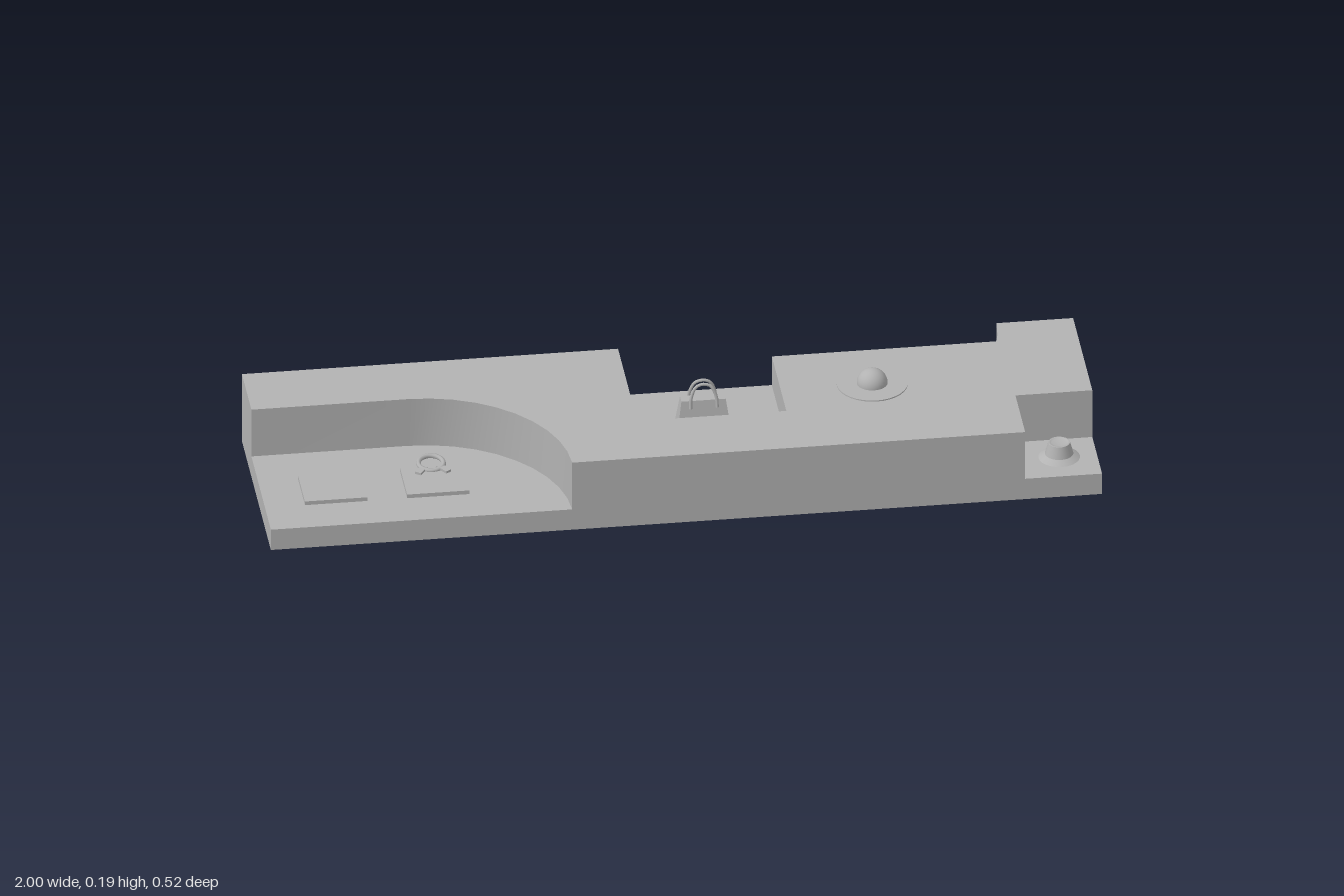
import * as THREE from 'three';

const TOP = 0.185, SHELF = 0.135, LOW = 0.056, HZ = 0.26, SEG = 10;

export function createModel() {
  const model = new THREE.Group();
  const grey = new THREE.MeshStandardMaterial({ color: 0xb2b2b2, side: THREE.DoubleSide });
  grey.name = 'plain grey';

  function add(name, geometry, x = 0, y = 0, z = 0, parent = model) {
    const mesh = new THREE.Mesh(geometry, grey);
    mesh.name = name;
    mesh.position.set(x, y, z);
    parent.add(mesh);
    return mesh;
  }

  // Quarter-circle points on the ground plan, as [x, z]
  function arc(cx, cz, r, from, to) {
    return Array.from({ length: SEG + 1 }, (_, i) => {
      const a = from + (to - from) * i / SEG;
      return [cx + r * Math.cos(a), cz + r * Math.sin(a)];
    });
  }

  // Upright sheet along a plan path
  function wall(name, path, y0, y1) {
    const pos = [], index = [];
    path.forEach(([x, z], i) => {
      pos.push(x, y0, z, x, y1, z);
      if (i) {
        const a = 2 * i - 2;
        index.push(a, a + 2, a + 3, a, a + 3, a + 1);
      }
    });
    const g = new THREE.BufferGeometry();
    g.setAttribute('position', new THREE.Float32BufferAttribute(pos, 3));
    g.setIndex(index);
    g.computeVertexNormals();
    add(name, g);
  }

  // Level sheet from a plan outline
  function sheet(name, path, y) {
    const shape = new THREE.Shape(path.map(([x, z]) => new THREE.Vector2(x, -z)));
    add(name, new THREE.ShapeGeometry(shape).rotateX(-Math.PI / 2), 0, y, 0);
  }

  // Plan curves of the two rounded recesses
  const frontCurve = [[-1, -0.09], ...arc(-0.625, HZ, 0.35, -Math.PI / 2, 0)];
  const backCurve = [...arc(0.47, -HZ, 0.345, 0, Math.PI / 2), [0.275, 0.085]];

  // Level surfaces
  sheet('topSurface', [
    ...frontCurve, [0.815, HZ], [0.815, 0.085], [1, 0.085], [1, -HZ],
    ...backCurve, [-0.095, 0.085], [-0.095, -HZ], [-1, -HZ],
  ], TOP);
  sheet('frontRecessFloor', [...frontCurve, [-1, HZ]], LOW);
  sheet('shelfFloor', [...backCurve, [0.275, -HZ]], SHELF);
  sheet('bagRecessFloor', [[-0.095, -HZ], [0.275, -HZ], [0.275, 0.085], [-0.095, 0.085]], LOW);
  sheet('cornerFloor', [[0.815, 0.085], [1, 0.085], [1, HZ], [0.815, HZ]], LOW);

  // Recess walls
  wall('frontRecessWall', frontCurve, LOW, TOP);
  wall('shelfWall', backCurve, SHELF, TOP);
  wall('bagRecessWall', [[0.275, 0.085], [-0.095, 0.085]], LOW, TOP);
  wall('bagRecessSide', [[-0.095, 0.085], [-0.095, -HZ]], LOW, TOP);
  wall('shelfStep', [[0.275, -HZ], [0.275, 0.085]], LOW, SHELF);
  wall('cornerWall', [[0.815, 0.085], [1, 0.085]], LOW, TOP);
  wall('cornerSide', [[0.815, HZ], [0.815, 0.085]], LOW, TOP);

  // Outer walls, open underneath
  [[-1, -0.275, LOW], [-0.275, 0.815, TOP], [0.815, 1, LOW]]
    .forEach(([a, b, y]) => wall('frontWall', [[a, HZ], [b, HZ]], 0, y));
  [[-1, -0.095, TOP], [-0.095, 0.275, LOW], [0.275, 0.815, SHELF], [0.815, 1, TOP]]
    .forEach(([a, b, y]) => wall('backWall', [[b, -HZ], [a, -HZ]], 0, y));
  [[-HZ, 0.085, TOP], [0.085, HZ, LOW]]
    .forEach(([a, b, y]) => wall('leftEnd', [[1, b], [1, a]], 0, y));
  [[-HZ, -0.09, TOP], [-0.09, HZ, LOW]]
    .forEach(([a, b, y]) => wall('rightEnd', [[-1, a], [-1, b]], 0, y));

  // Folded garments with a shallow neckline
  const garment = new THREE.Shape();
  garment.moveTo(-0.075, -0.0725);
  garment.lineTo(0.075, -0.0725);
  garment.lineTo(0.075, 0.055);
  garment.quadraticCurveTo(0.068, 0.072, 0.05, 0.072);
  garment.quadraticCurveTo(0, 0.052, -0.05, 0.072);
  garment.quadraticCurveTo(-0.068, 0.072, -0.075, 0.055);
  garment.closePath();
  const garmentGeo = new THREE.ExtrudeGeometry(garment, { depth: 0.01, bevelEnabled: false, curveSegments: 6 })
    .rotateX(-Math.PI / 2);
  for (const x of [-0.829, -0.583]) add('foldedGarment', garmentGeo, x, LOW, 0.083);

  // Collar on the second garment
  const collar = new THREE.Group();
  collar.name = 'collar';
  collar.position.set(-0.583, LOW + 0.014, 0.022);
  model.add(collar);
  const band = add('collarBand', new THREE.TorusGeometry(0.03, 0.006, 8, 24), 0, 0, 0, collar);
  band.rotation.x = Math.PI / 2 + 0.12;
  for (const s of [-1, 1]) {
    const lapel = add('lapel', new THREE.BoxGeometry(0.016, 0.006, 0.036), s * 0.027, -0.001, 0.028, collar);
    lapel.rotation.y = s * 0.6;
  }

  // Small hat in the corner
  const hat = [[0.05, 0], [0.044, 0.004], [0.034, 0.01], [0.034, 0.01], [0.026, 0.04], [0.026, 0.04], [0.021, 0.041], [0.019, 0.037], [0, 0.037]];
  add('cornerHat', new THREE.LatheGeometry(hat.map(p => new THREE.Vector2(...p)), 24), 0.909, LOW + 0.001, 0.168);

  // Round hat on the shelf
  add('roundHatBrim', new THREE.CylinderGeometry(0.085, 0.085, 0.003, 32), 0.495, SHELF + 0.0015, -0.1);
  add('roundHatCrown', new THREE.SphereGeometry(0.037, 24, 10, 0, Math.PI * 2, 0, Math.PI / 2), 0.495, SHELF + 0.003, -0.1);

  // Handbag: body tapers to the top, with two arched handles
  const bag = new THREE.Group();
  bag.name = 'handbag';
  bag.position.set(0.086, LOW, -0.088);
  model.add(bag);
  const body = new THREE.BoxGeometry(0.13, 0.08, 0.054).translate(0, 0.04, 0);
  const p = body.attributes.position;
  for (let i = 0; i < p.count; i++) {
    if (p.getY(i) > 0.04) p.setXYZ(i, p.getX(i) * 0.82, p.getY(i), p.getZ(i) * 0.5);
  }
  body.computeVertexNormals();
  add('bagBody', body, 0, 0, 0, bag);
  for (const s of [-1, 1]) {
    const path = new THREE.CatmullRomCurve3([
      [-0.032, 0.062, 0.02], [-0.03, 0.09, 0.015], [-0.018, 0.116, 0.011], [0, 0.122, 0.01],
      [0.018, 0.116, 0.011], [0.03, 0.09, 0.015], [0.032, 0.062, 0.02],
    ].map(([x, y, z]) => new THREE.Vector3(x, y, s * z)));
    add('bagHandle', new THREE.TubeGeometry(path, 20, 0.004, 6), 0, 0, 0, bag);
  }

  return model;
}
